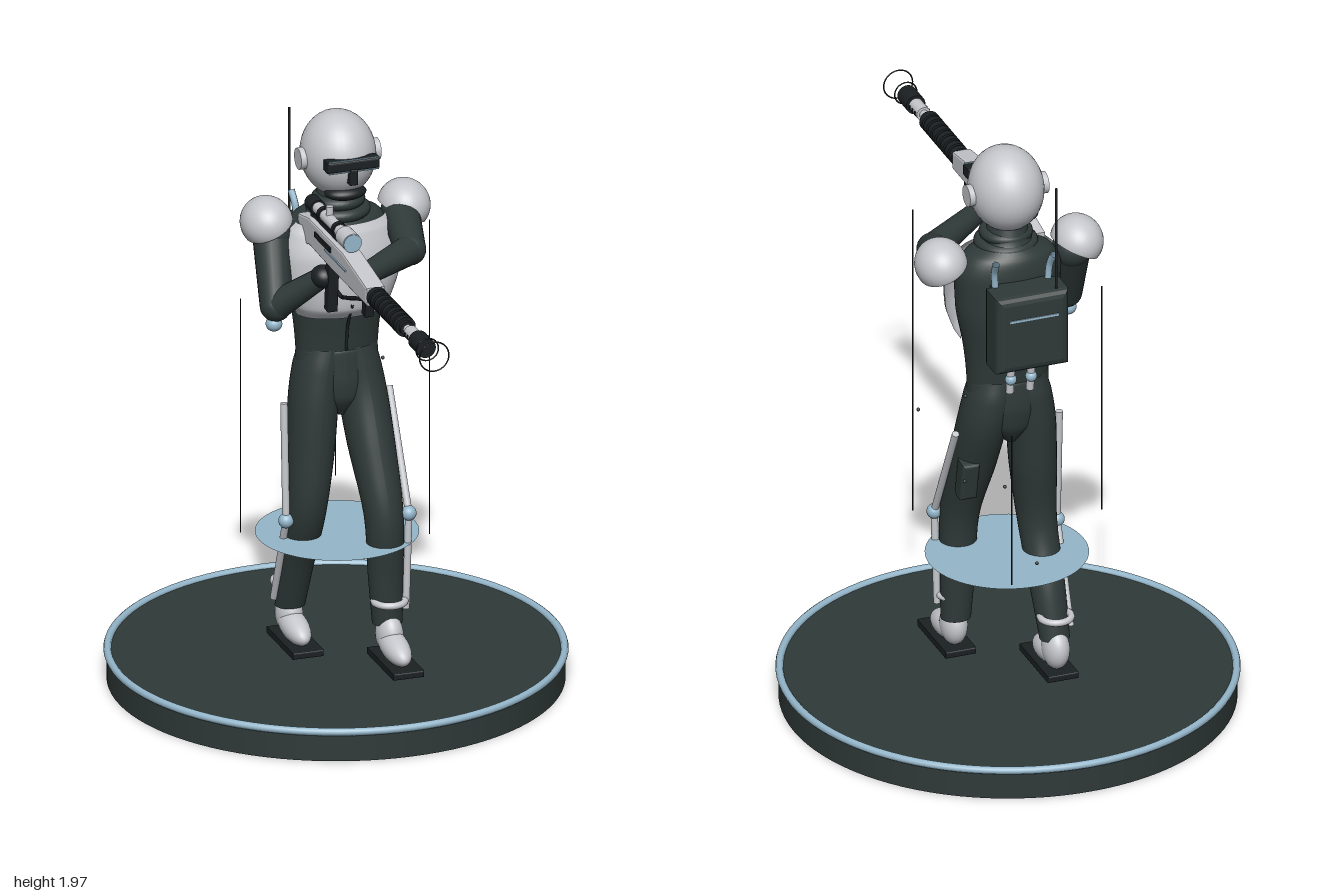
import * as THREE from 'three';

const mat = (name, color) => {
  const m = new THREE.MeshStandardMaterial({ color, side: THREE.DoubleSide });
  m.name = name;
  return m;
};

export function createModel() {
  const model = new THREE.Group();
  const suit = mat('dark suit', 0x2f3a38);
  const armor = mat('pale armour', 0xc6c8cd);
  const blue = mat('pale blue', 0x95b7cb);
  const black = mat('black', 0x1b2022);
  const V = (a) => new THREE.Vector3(...a);

  const add = (name, geo, material, pos = [0, 0, 0], rot = [0, 0, 0], scale = [1, 1, 1]) => {
    const m = new THREE.Mesh(geo, material);
    m.name = name;
    m.position.set(...pos);
    m.rotation.set(...rot);
    m.scale.set(...scale);
    model.add(m);
    return m;
  };
  const ball = (name, material, pos, size, rot) =>
    add(name, new THREE.SphereGeometry(1, 32, 20), material, pos, rot, size);
  const box = (name, material, size, pos, rot) => add(name, new THREE.BoxGeometry(...size), material, pos, rot);
  // Cylinder between two points
  const rod = (name, material, a, b, ra, rb = ra, sides = 20) => {
    const p = V(a), q = V(b), d = q.clone().sub(p);
    const m = add(name, new THREE.CylinderGeometry(rb, ra, d.length(), sides), material);
    m.position.copy(p).add(q).multiplyScalar(0.5);
    m.quaternion.setFromUnitVectors(new THREE.Vector3(0, 1, 0), d.normalize());
    return m;
  };
  const tube = (name, material, pts, r) =>
    add(name, new THREE.TubeGeometry(new THREE.CatmullRomCurve3(pts.map(V)), 32, r, 8), material);
  // Box with rounded edges, extruded along z
  const softBox = (name, material, [w, h, d], pos, rot) => {
    const b = Math.min(w, h, d) * 0.2, s = new THREE.Shape();
    s.moveTo(-w / 2 + b, -h / 2 + b).lineTo(w / 2 - b, -h / 2 + b).lineTo(w / 2 - b, h / 2 - b).lineTo(-w / 2 + b, h / 2 - b);
    const g = new THREE.ExtrudeGeometry(s, { depth: d - 2 * b, bevelSize: b, bevelThickness: b, bevelSegments: 3 });
    return add(name, g.translate(0, 0, -d / 2 + b), material, pos, rot);
  };
  // Smooth body through horizontal ellipses [x, y, z, rx, rz], listed from the bottom up
  const loft = (name, material, rings, a0 = 0, arc = Math.PI * 2) => {
    const centre = new THREE.CatmullRomCurve3(rings.map((r) => V(r.slice(0, 3))));
    const radii = new THREE.CatmullRomCurve3(rings.map((r) => V([r[3], r[4], 0])));
    const g = new THREE.CylinderGeometry(1, 1, 1, 40, 30, true, a0, arc);
    const p = g.attributes.position;
    for (let i = 0; i < p.count; i++) {
      const t = Math.min(1, Math.max(0, p.getY(i) + 0.5));
      const c = centre.getPoint(t), r = radii.getPoint(t);
      p.setXYZ(i, c.x + p.getX(i) * r.x, c.y, c.z + p.getZ(i) * r.y);
    }
    g.computeVertexNormals();
    return add(name, g, material);
  };

  // Display base with trim
  add('base', new THREE.CylinderGeometry(0.74, 0.74, 0.1, 96), suit, [0, 0.05, -0.25]);
  add('baseTrim', new THREE.TorusGeometry(0.737, 0.013, 10, 96), blue, [0, 0.1, -0.25], [Math.PI / 2, 0, 0]);
  add('floatingDisc', new THREE.CircleGeometry(0.265, 64), blue, [0, 0.51, -0.24], [-Math.PI / 2, 0, 0]);

  // Light threads and drifting specks
  for (const [x, z, y0, y1] of [[-0.35, -0.185, 0.57, 1.38], [0.22, 0.03, 0.57, 1.66], [0.11, -0.565, 0.565, 1.105]])
    rod('thread', black, [x, y0, z], [x, y1, z], 0.002, 0.002, 6);
  for (const p of [[0.33, 1.115, -0.3], [0.265, 0.96, -0.545], [0.06, 0.68, -0.66], [0.13, 0.92, -0.555], [0.2, 1.18, -0.385]])
    ball('speck', suit, p, [0.006, 0.006, 0.006]);

  // Legs: the left one steps forward
  loft('leftLeg', suit, [[0.122, 0.23, -0.1, 0.05, 0.044], [0.116, 0.4, -0.1, 0.058, 0.054], [0.11, 0.6, -0.1, 0.064, 0.068],
    [0.093, 0.82, -0.17, 0.077, 0.088], [0.08, 1.0, -0.23, 0.08, 0.098], [0.065, 1.1, -0.245, 0.078, 0.097], [0.05, 1.17, -0.245, 0.07, 0.088]]);
  loft('rightLeg', suit, [[-0.122, 0.23, -0.35, 0.05, 0.044], [-0.116, 0.4, -0.3, 0.058, 0.058], [-0.11, 0.6, -0.225, 0.064, 0.07],
    [-0.093, 0.82, -0.23, 0.077, 0.09], [-0.08, 1.0, -0.24, 0.08, 0.098], [-0.065, 1.1, -0.245, 0.078, 0.097], [-0.05, 1.17, -0.245, 0.07, 0.088]]);
  loft('hips', suit, [[0, 0.93, -0.24, 0.02, 0.05], [0, 1.0, -0.24, 0.11, 0.09], [0, 1.08, -0.245, 0.137, 0.097],
    [0, 1.16, -0.245, 0.137, 0.092], [0, 1.175, -0.245, 0.125, 0.08]]);

  // Feet and leg struts
  for (const [s, fz, knee, ankle, top] of [[1, -0.02, [0.61, -0.07], [0.28, -0.075], [0.98, -0.26]],
    [-1, -0.3, [0.58, -0.21], [0.26, -0.35], [0.98, -0.23]]]) {
    const x = s * 0.122, sx = s * 0.185;
    softBox('sole', black, [0.105, 0.022, 0.26], [x, 0.12, fz]);
    ball('shoe', armor, [x, 0.17, fz - 0.01], [0.045, 0.045, 0.11], [0.15, 0, 0]);
    ball('shoeHeel', armor, [x, 0.195, fz - 0.06], [0.044, 0.07, 0.06]);
    add('ankleRing', new THREE.TorusGeometry(0.05, 0.012, 10, 32), armor, [x, 0.31, fz - 0.06], [Math.PI / 2, 0, 0]);
    rod('upperStrut', armor, [sx, top[0], top[1]], [sx, ...knee], 0.012);
    rod('lowerStrut', armor, [sx, ...knee], [sx - s * 0.008, ...ankle], 0.012);
    ball('kneeJoint', blue, [sx, ...knee], [0.025, 0.025, 0.025]);
  }
  softBox('thighPouch', suit, [0.06, 0.14, 0.06], [0.135, 0.8, -0.235], [-0.2, 0, 0]);

  // Torso and chest armour
  loft('torso', suit, [[0, 1.15, -0.245, 0.137, 0.088], [0, 1.22, -0.245, 0.142, 0.096], [0, 1.3, -0.245, 0.152, 0.108],
    [0, 1.42, -0.245, 0.175, 0.12], [0, 1.54, -0.245, 0.18, 0.12], [0, 1.61, -0.25, 0.15, 0.105], [0, 1.65, -0.245, 0.08, 0.08], [0, 1.71, -0.24, 0.06, 0.065]]);
  loft('chestPlate', armor, [[0, 1.29, -0.215, 0.145, 0.088], [0, 1.33, -0.215, 0.17, 0.12], [0, 1.42, -0.215, 0.2, 0.128],
    [0, 1.5, -0.215, 0.205, 0.122], [0, 1.58, -0.215, 0.18, 0.1], [0, 1.61, -0.215, 0.15, 0.085]], -Math.PI / 2, Math.PI);
  tube('frontSeam', black, [[0, 1.17, -0.15], [0, 1.25, -0.14], [0, 1.3, -0.118], [0, 1.35, -0.09]], 0.005);
  for (const [y, r] of [[1.635, 0.085], [1.67, 0.068]])
    add('collar', new THREE.TorusGeometry(r, 0.02, 12, 36), suit, [0, y, -0.23], [Math.PI / 2, 0, 0]);

  // Helmet
  ball('helmet', armor, [0, 1.826, -0.232], [0.122, 0.142, 0.14]);
  for (const s of [-1, 1])
    rod('earDisc', armor, [s * 0.1, 1.82, -0.232], [s * 0.137, 1.82, -0.232], 0.036, 0.036, 32);
  softBox('visor', black, [0.178, 0.036, 0.05], [0, 1.835, -0.1]);
  for (const y of [1.855, 1.815]) box('visorTrim', blue, [0.17, 0.003, 0.006], [0, y, -0.08]);
  softBox('visorNose', black, [0.026, 0.055, 0.04], [0, 1.795, -0.092]);
  ball('chinGuard', black, [0, 1.715, -0.16], [0.07, 0.025, 0.05]);

  // Shoulder pads
  for (const s of [-1, 1])
    add('shoulderPad', new THREE.SphereGeometry(1, 32, 20, 0, Math.PI * 2, 0, Math.PI * 0.58), armor,
      [s * 0.235, 1.605, -0.258], [0, 0, -s * 0.45], [0.085, 0.085, 0.097]);

  // Arms
  const arm = (side, shoulder, elbow, hand) => {
    rod(side + 'UpperArm', suit, shoulder, elbow, 0.062, 0.052);
    rod(side + 'Forearm', suit, elbow, hand, 0.05, 0.034);
    ball(side + 'Shoulder', suit, shoulder, [0.065, 0.065, 0.065]);
    ball(side + 'Elbow', suit, elbow, [0.052, 0.052, 0.052]);
    ball(side + 'Hand', black, hand, [0.042, 0.038, 0.045]);
  };
  arm('left', [0.215, 1.59, -0.235], [0.175, 1.54, -0.03], [-0.07, 1.545, 0.165]);
  arm('right', [-0.225, 1.57, -0.24], [-0.245, 1.36, -0.14], [-0.125, 1.49, -0.02]);
  ball('elbowCap', blue, [-0.253, 1.3, -0.135], [0.027, 0.025, 0.027]);

  // Rifle body, from its side outline
  const gx = -0.107, gy = 1.59;
  const outline = [[0.43, 1.565], [0.43, 1.615], [0.2, 1.65], [-0.12, 1.65], [-0.22, 1.63], [-0.22, 1.54], [-0.12, 1.57], [0.1, 1.565]];
  const body = new THREE.ExtrudeGeometry(new THREE.Shape(outline.map((p) => new THREE.Vector2(...p))),
    { depth: 0.05, bevelSize: 0.006, bevelThickness: 0.008, bevelSegments: 2 });
  add('rifleBody', body.rotateY(-Math.PI / 2), armor, [gx + 0.025, 0, 0]);
  const along = (name, material, z0, z1, r, y = gy) => rod(name, material, [gx, y, z0], [gx, y, z1], r, r, 24);
  along('barrelShroud', black, 0.42, 0.74, 0.024);
  for (let i = 0; i < 8; i++) along('barrelRib', black, 0.44 + i * 0.037, 0.464 + i * 0.037, 0.034);
  along('barrel', armor, 0.73, 0.86, 0.015);
  along('barrelSleeve', armor, 0.77, 0.845, 0.024);
  for (const z of [0.785, 0.808, 0.831]) box('barrelVent', black, [0.052, 0.014, 0.009], [gx, gy, z]);
  along('muzzle', black, 0.84, 0.92, 0.033);
  for (const [z, r] of [[0.93, 0.038], [0.997, 0.05]])
    add('muzzleRing', new THREE.TorusGeometry(r, 0.0025, 6, 40), black, [gx, gy, z]);
  box('underRail', blue, [0.012, 0.008, 0.2], [gx, 1.565, 0.51]);
  for (const s of [-1, 1]) {
    box('sideSlot', black, [0.006, 0.018, 0.15], [gx + s * 0.034, 1.625, 0.02]);
    box('sideStripe', blue, [0.006, 0.005, 0.2], [gx + s * 0.0345, 1.608, 0.14]);
  }
  box('foregrip', black, [0.03, 0.07, 0.032], [gx, 1.53, 0.36], [0.12, 0, 0]);
  softBox('magazine', black, [0.034, 0.17, 0.045], [gx, 1.465, 0.01], [0.1, 0, 0]);
  tube('sling', black, [[gx, 1.55, 0.37], [gx + 0.01, 1.5, 0.22], [gx + 0.03, 1.44, 0.06], [gx + 0.05, 1.405, -0.06], [gx + 0.02, 1.46, -0.12]], 0.007);
  box('topRail', black, [0.03, 0.02, 0.3], [gx, 1.662, 0.0]);

  // Scope
  along('scopeTube', armor, -0.16, 0.15, 0.02, 1.688);
  along('scopeFront', armor, 0.135, 0.21, 0.032, 1.688);
  along('scopeEyepiece', black, -0.18, -0.12, 0.026, 1.688);
  along('scopeLens', blue, 0.208, 0.213, 0.03, 1.688);
  for (const z of [-0.06, 0.08]) along('scopeMount', black, z - 0.01, z + 0.01, 0.025, 1.688);
  rod('scopeTurret', armor, [gx, 1.69, -0.01], [gx, 1.735, -0.01], 0.012);

  // Backpack, aerial and hoses
  softBox('backpack', suit, [0.25, 0.27, 0.125], [0, 1.415, -0.418]);
  softBox('backpackLid', suit, [0.21, 0.06, 0.08], [0, 1.52, -0.39]);
  box('backpackStripe', blue, [0.17, 0.008, 0.006], [0, 1.47, -0.481]);
  rod('aerial', black, [-0.088, 1.5, -0.452], [-0.088, 1.91, -0.452], 0.005, 0.004, 8);
  for (const s of [-1, 1]) {
    tube('strapHose', blue, [[s * 0.09, 1.52, -0.37], [s * 0.095, 1.6, -0.375], [s * 0.1, 1.645, -0.4]], 0.012);
    rod('lowerTube', armor, [s * 0.035, 1.15, -0.355], [s * 0.035, 1.3, -0.375], 0.013);
    ball('tubeJoint', blue, [s * 0.035, 1.2, -0.365], [0.019, 0.019, 0.019]);
  }
  return model;
}
